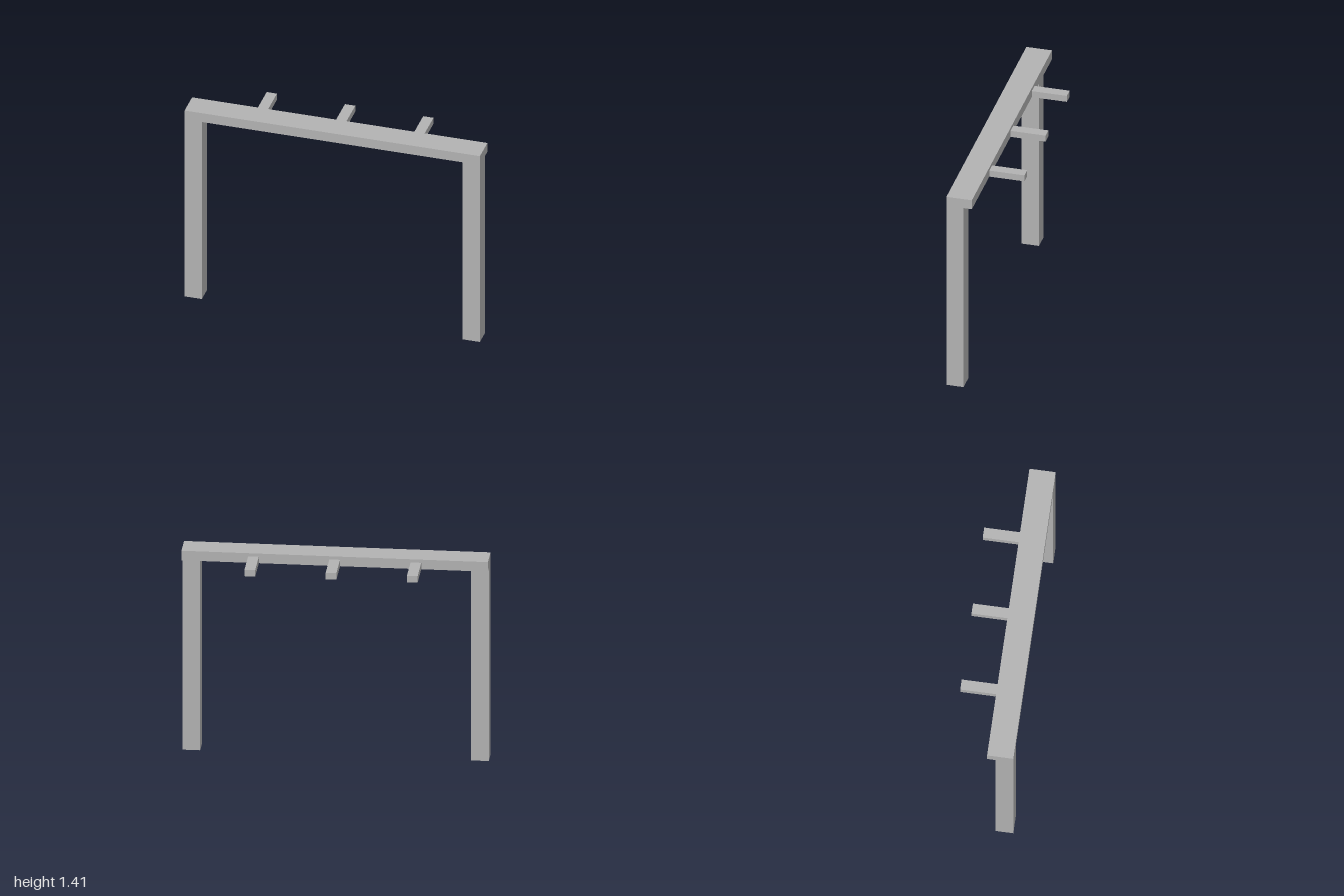
import * as THREE from 'three';

export function createModel() {
  const group = new THREE.Group();
  const grey = new THREE.MeshStandardMaterial({ color: 0xb2b2b2 });
  grey.name = 'grey';

  // Box given by its minimum and maximum corners
  function block(name, [x0, y0, z0], [x1, y1, z1]) {
    const mesh = new THREE.Mesh(new THREE.BoxGeometry(x1 - x0, y1 - y0, z1 - z0), grey);
    mesh.position.set((x0 + x1) / 2, (y0 + y1) / 2, (z0 + z1) / 2);
    mesh.name = name;
    group.add(mesh);
  }

  const underside = 1.346, front = 0.204, beamBack = 0.032;

  // Top beam, overhanging the posts at the back
  block('beam', [-1, underside, beamBack], [1, 1.413, front]);

  // Two square posts, flush with the beam's front and ends
  block('leftPost', [0.883, 0, 0.088], [1, underside, front]);
  block('rightPost', [-1, 0, 0.088], [-0.883, underside, front]);

  // Three short arms projecting backwards
  for (const [name, x] of [['rightArm', -0.53], ['middleArm', 0], ['leftArm', 0.53]]) {
    block(name, [x - 0.035, underside, -0.204], [x + 0.035, 1.391, beamBack]);
  }

  return group;
}
